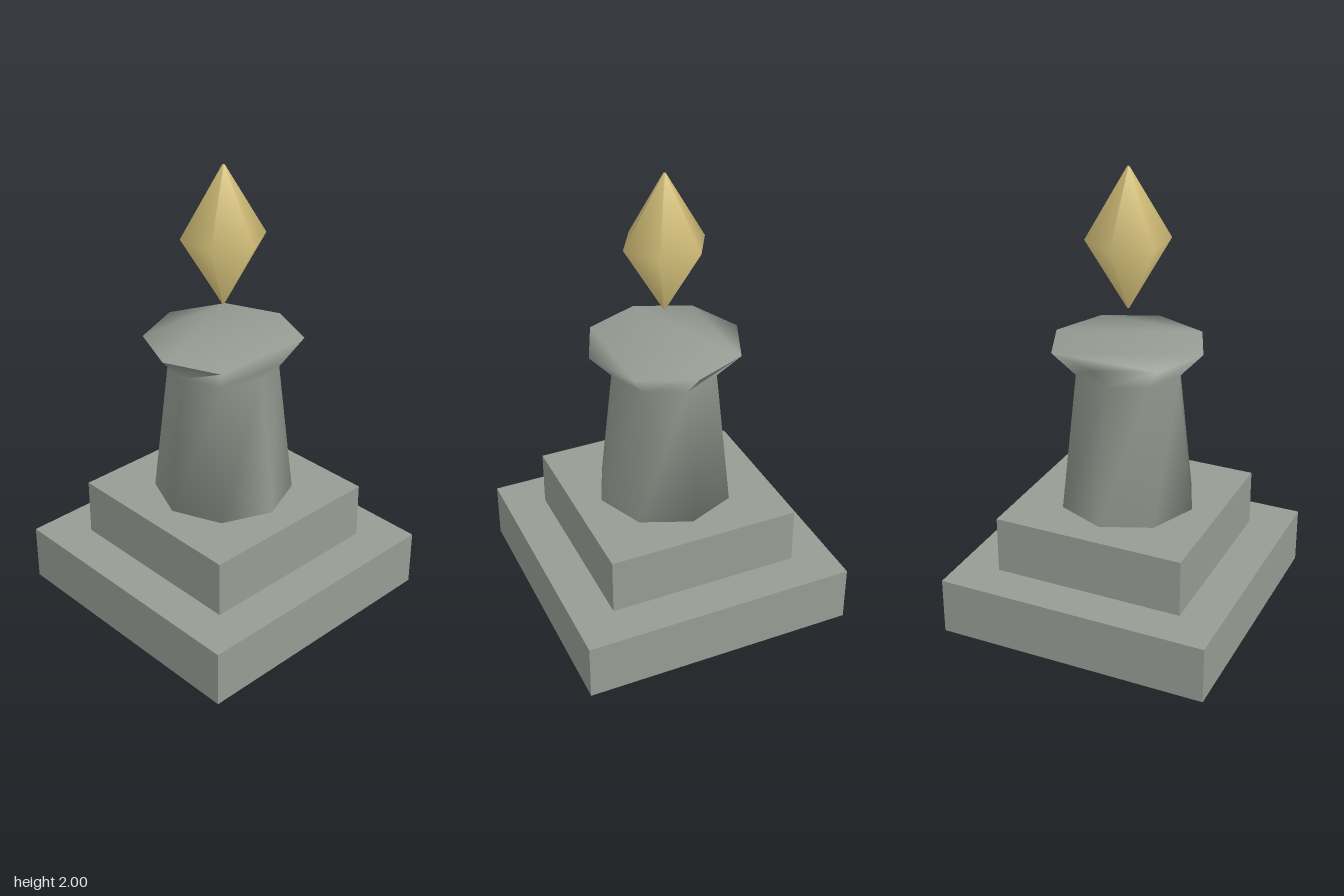
import * as THREE from 'three';

const stone = new THREE.MeshStandardMaterial({ color: 0x969c93 });
stone.name = 'grey stone';
const gold = new THREE.MeshStandardMaterial({ color: 0xd9c47c });
gold.name = 'pale gold';

// Closed solid from [radius, y] rings (bottom to top) with shared vertices,
// so shading flows smoothly over the facets and into the end caps.
function loft(rings, sides) {
  const pos = [], index = [];
  for (const [r, y] of rings) {
    for (let i = 0; i < sides; i++) {
      const a = (i / sides) * Math.PI * 2;
      pos.push(r * Math.cos(a), y, -r * Math.sin(a));
    }
  }
  // side bands
  for (let k = 0; k < rings.length - 1; k++) {
    for (let i = 0; i < sides; i++) {
      const j = (i + 1) % sides;
      const a = k * sides + i, b = k * sides + j;
      index.push(a, b, b + sides, a, b + sides, a + sides);
    }
  }
  // end caps, cut into parallel strips
  const top = (rings.length - 1) * sides;
  for (let i = 0; i < sides / 2 - 1; i++) {
    const p = (n) => (n + 1) % sides;
    const a = p(i), b = p(i + 1), c = p(sides - 2 - i), d = p(sides - 1 - i);
    index.push(top + a, top + b, top + c, top + a, top + c, top + d);
    index.push(a, c, b, a, d, c);
  }
  const geometry = new THREE.BufferGeometry();
  geometry.setAttribute('position', new THREE.Float32BufferAttribute(pos, 3));
  geometry.setIndex(index);
  geometry.computeVertexNormals();
  return geometry;
}

export function createModel() {
  const group = new THREE.Group();
  group.name = 'crystalPedestal';

  const add = (name, geometry, material, y = 0) => {
    const mesh = new THREE.Mesh(geometry, material);
    mesh.name = name;
    mesh.position.y = y;
    group.add(mesh);
  };

  // two square steps
  add('lowerStep', new THREE.BoxGeometry(1.215, 0.255, 1.215), stone, 0.1275);
  add('upperStep', new THREE.BoxGeometry(0.855, 0.255, 0.855), stone, 0.3825);

  // tapered eight-sided column with a flared top
  add('column', loft([[0.305, 0.51], [0.235, 1.13], [0.34, 1.245]], 8), stone);

  // floating six-sided crystal
  add('crystal', loft([[0.005, 1.4], [0.18, 1.7], [0.005, 2]], 6), gold);

  return group;
}
